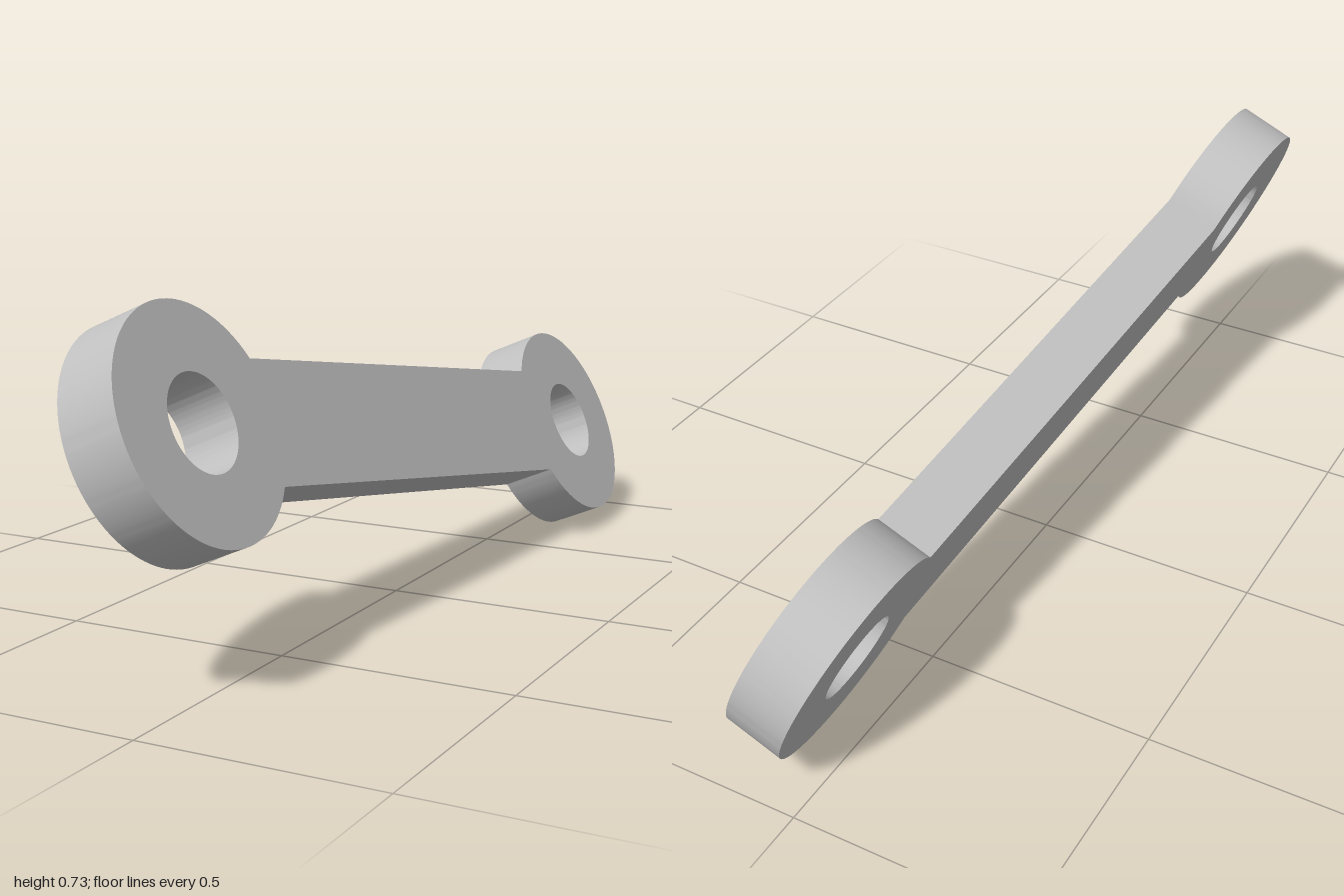
import * as THREE from 'three';
import { toCreasedNormals } from 'three/addons/utils/BufferGeometryUtils.js';

export function createModel() {
  const group = new THREE.Group();
  group.name = 'connectingLink';
  const steel = new THREE.MeshStandardMaterial({ color: 0xc0c0c0 });
  steel.name = 'light grey';

  const half = 0.777;      // eye centre distance from the middle
  const eyeRadius = 0.235;
  const holeRadius = 0.097;
  const barHalf = 0.127;
  const thickness = 0.126;
  const join = Math.asin(barHalf / eyeRadius); // where the bar meets an eye

  // Outline: two round eyes joined by a straight bar
  const outline = new THREE.Shape();
  outline.absarc(half, 0, eyeRadius, Math.PI + join, 3 * Math.PI - join, false);
  outline.absarc(-half, 0, eyeRadius, join, 2 * Math.PI - join, false);
  outline.closePath();

  // Round holes through the eyes
  for (const side of [-1, 1]) {
    const hole = new THREE.Path();
    hole.absarc(side * half, 0, holeRadius, 0, Math.PI * 2, true);
    outline.holes.push(hole);
  }

  const extruded = new THREE.ExtrudeGeometry(outline, {
    depth: thickness, bevelEnabled: false, curveSegments: 64,
  });
  extruded.translate(0, 0, -thickness / 2);
  const link = new THREE.Mesh(toCreasedNormals(extruded, 0.5), steel);
  link.name = 'linkBody';

  // Lean the plate sideways, and slope the bar down towards the back
  const normal = new THREE.Vector3(0.917, 0.398, 0).normalize();
  const rise = new THREE.Vector3(-normal.y, normal.x, 0);
  const back = new THREE.Vector3(0, 0, -1);
  const slope = 0.1755;
  const along = back.clone().multiplyScalar(Math.cos(slope)).addScaledVector(rise, -Math.sin(slope));
  const across = rise.clone().multiplyScalar(Math.cos(slope)).addScaledVector(back, Math.sin(slope));
  link.quaternion.setFromRotationMatrix(new THREE.Matrix4().makeBasis(along, across, normal));
  link.position.y = 0.366;

  group.add(link);
  return group;
}
